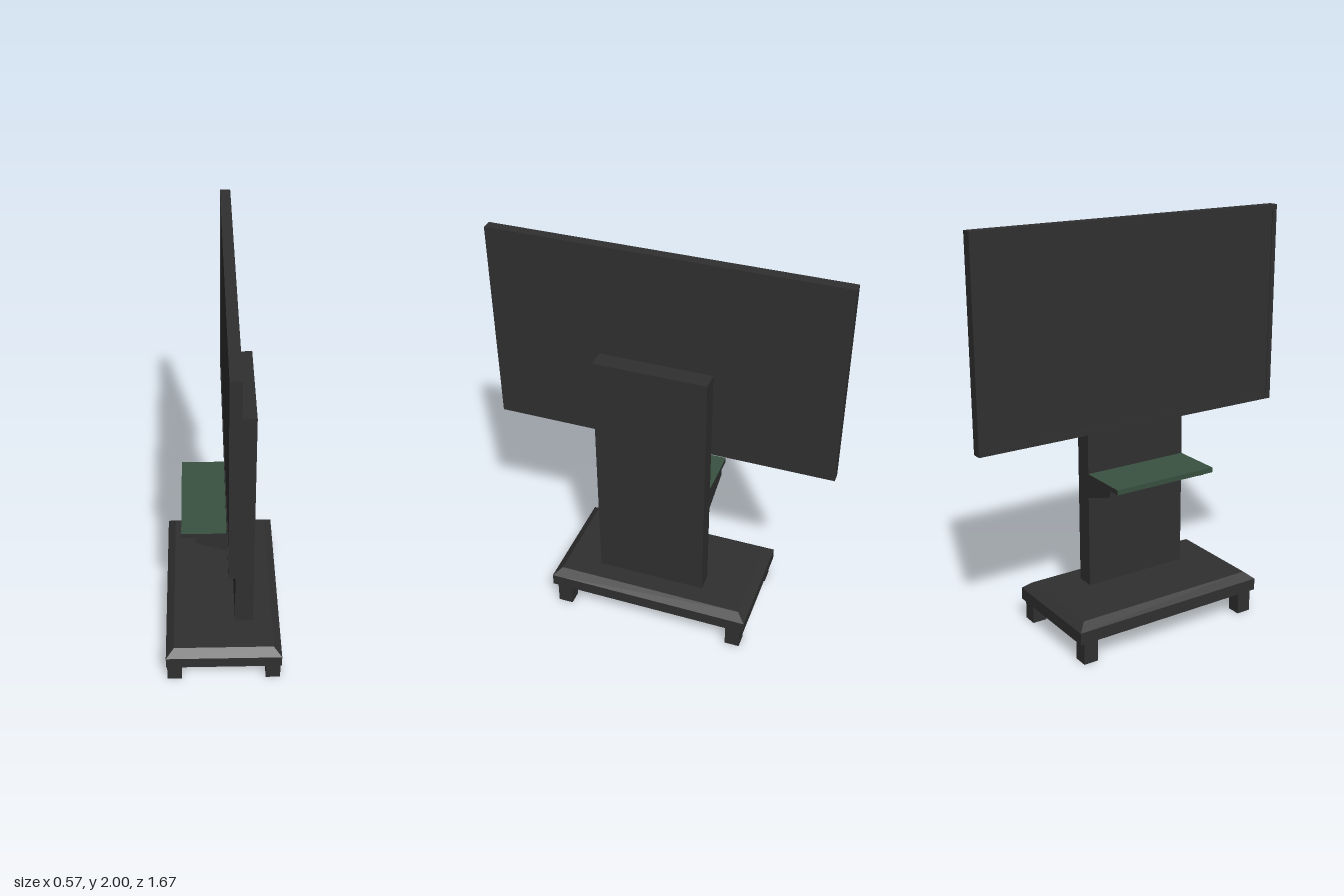
import * as THREE from 'three';

const charcoal = new THREE.MeshStandardMaterial({ color: 0x303030 });
charcoal.name = 'charcoal';
const green = new THREE.MeshStandardMaterial({ color: 0x395140 });
green.name = 'shelf green';

export function createModel() {
  const model = new THREE.Group();

  function add(name, geometry, material = charcoal) {
    const mesh = new THREE.Mesh(geometry, material);
    mesh.name = name;
    model.add(mesh);
    return mesh;
  }

  // Box given by its limits on each axis
  function box(name, [x0, x1], [y0, y1], [z0, z1], material) {
    const g = new THREE.BoxGeometry(x1 - x0, y1 - y0, z1 - z0);
    g.translate((x0 + x1) / 2, (y0 + y1) / 2, (z0 + z1) / 2);
    return add(name, g, material);
  }

  const columnZ = [-0.243, 0.307];
  const midZ = 0.01;

  // Base: slab with a chamfered upper rim
  box('baseSlab', [-0.285, 0.285], [0.11, 0.17], [midZ - 0.515, midZ + 0.515]);
  const rim = new THREE.BoxGeometry(0.57, 0.034, 1.03);
  const p = rim.attributes.position;
  for (let i = 0; i < p.count; i++) {
    if (p.getY(i) > 0) {
      p.setX(i, Math.sign(p.getX(i)) * 0.245);
      p.setZ(i, Math.sign(p.getZ(i)) * 0.474);
    }
  }
  const rimFlat = rim.toNonIndexed();
  rimFlat.computeVertexNormals();
  rimFlat.translate(0, 0.187, midZ);
  add('baseChamfer', rimFlat);

  // Four feet
  for (const sx of [-1, 1]) {
    for (const z of [-0.448, 0.462]) {
      box('foot', [sx * 0.245 - 0.036, sx * 0.245 + 0.036], [0, 0.11], [z - 0.037, z + 0.037]);
    }
  }

  // Upright column
  box('column', [0.06, 0.15], [0.204, 1.45], columnZ);

  // Display: body with a slim raised bezel facing -x
  box('displayBody', [0.014, 0.06], [1.005, 2], [-0.835, 0.835]);
  const b = 0.025;
  for (const [y, z] of [
    [[1.005, 1.005 + b], [-0.835, 0.835]],
    [[2 - b, 2], [-0.835, 0.835]],
    [[1.005 + b, 2 - b], [-0.835, -0.835 + b]],
    [[1.005 + b, 2 - b], [0.835 - b, 0.835]],
  ]) box('displayBezel', [0.01, 0.014], y, z);

  // Shelf: green plate with dark ends
  box('shelf', [-0.197, 0.06], [0.765, 0.79], columnZ,
    [green, green, green, green, charcoal, charcoal]);

  // Tapered bracket under each end of the shelf
  const profile = new THREE.Shape([
    new THREE.Vector2(0.06, 0.668),
    new THREE.Vector2(0.06, 0.765),
    new THREE.Vector2(-0.13, 0.765),
    new THREE.Vector2(-0.13, 0.732),
  ]);
  const thickness = 0.03;
  for (const z of [columnZ[0], columnZ[1] - thickness]) {
    const g = new THREE.ExtrudeGeometry(profile, { depth: thickness, bevelEnabled: false });
    g.translate(0, 0, z);
    add('shelfBracket', g);
  }

  return model;
}
